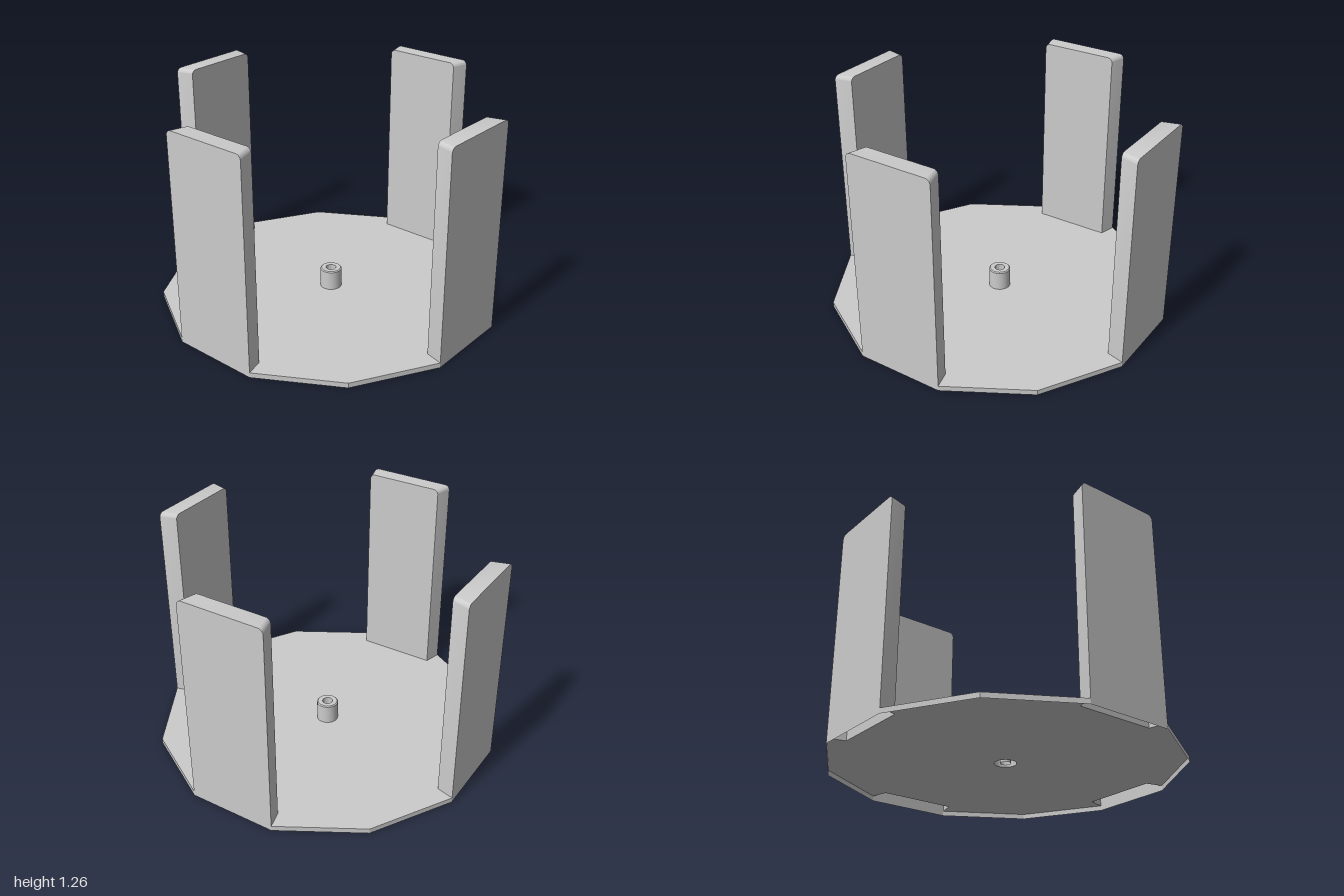
import * as THREE from 'three';
import { toCreasedNormals } from 'three/addons/utils/BufferGeometryUtils.js';

const DEG = Math.PI / 180;
const R = 1.009;          // corner radius of the twelve-sided base
const R_IN = 0.904;       // corner radius of the panels' inner faces
const START = 7.7;        // angle of the first corner, from +x towards +z
const PLATE_Y = 0.03, TOP_Y = 1.26;
const PIN_R = 0.063, HOLE_R = 0.03, PIN_Y = 0.15;

const material = new THREE.MeshStandardMaterial({ color: 0xcccccc, side: THREE.DoubleSide });
const flat = new THREE.MeshStandardMaterial({ color: 0xcccccc, side: THREE.DoubleSide, flatShading: true });

function addMesh(parent, name, geometry, mat = material) {
  const mesh = new THREE.Mesh(geometry, mat);
  mesh.name = name;
  parent.add(mesh);
  return mesh;
}

// Base top, notched under the four hollow panels
function plateGeometry() {
  const at = (r, deg) => new THREE.Vector2(r * Math.cos(deg * DEG), -r * Math.sin(deg * DEG));
  const points = [];
  for (let q = 0; q < 4; q++) {
    const a = START + q * 90;
    points.push(at(R, a), at(R, a + 30), at(R_IN, a + 30), at(R_IN, a + 60), at(R, a + 60));
  }
  const shape = new THREE.Shape(points);
  shape.holes.push(new THREE.Path().absarc(0, 0, PIN_R, 0, Math.PI * 2));
  return new THREE.ShapeGeometry(shape, 16).rotateX(-Math.PI / 2).translate(0, PLATE_Y, 0);
}

// Panel face outline with rounded top corners
function panelOutline(r) {
  const w = r * Math.sin(15 * DEG), c = 0.03;
  return new THREE.Shape()
    .moveTo(-w, PLATE_Y)
    .lineTo(-w, TOP_Y - c)
    .absarc(-w + c, TOP_Y - c, c, Math.PI, Math.PI / 2, true)
    .lineTo(w - c, TOP_Y)
    .absarc(w - c, TOP_Y - c, c, Math.PI / 2, 0, true)
    .lineTo(w, PLATE_Y);
}

// Strip joining the outer and inner outlines; the bottom stays open
function panelEdgeGeometry(outer, inner, zOuter, zInner) {
  const a = outer.getPoints(4), b = inner.getPoints(4);
  const positions = [], index = [];
  a.forEach((p, i) => {
    positions.push(p.x, p.y, zOuter, b[i].x, b[i].y, zInner);
    if (i === 0) return;
    const o0 = 2 * i - 2, i0 = o0 + 1, o1 = 2 * i, i1 = o1 + 1;
    index.push(i0, o0, o1, i0, o1, i1);
  });
  const g = new THREE.BufferGeometry();
  g.setAttribute('position', new THREE.Float32BufferAttribute(positions, 3));
  g.setIndex(index);
  return toCreasedNormals(g, 0.6);
}

function createPanel() {
  const panel = new THREE.Group();
  const outer = panelOutline(R), inner = panelOutline(R_IN);
  const zOuter = R * Math.cos(15 * DEG), zInner = R_IN * Math.cos(15 * DEG);
  addMesh(panel, 'panelOuterFace', new THREE.ShapeGeometry(outer, 4).translate(0, 0, zOuter));
  addMesh(panel, 'panelInnerFace', new THREE.ShapeGeometry(inner, 4).rotateY(Math.PI).translate(0, 0, zInner));
  addMesh(panel, 'panelEdge', panelEdgeGeometry(outer, inner, zOuter, zInner));
  return panel;
}

export function createModel() {
  const model = new THREE.Group();
  model.name = 'panelledHolder';

  // Base: top skin and a short skirt, open underneath
  addMesh(model, 'basePlate', plateGeometry());
  const rim = new THREE.CylinderGeometry(R, R, PLATE_Y, 12, 1, true, (90 - START) * DEG);
  addMesh(model, 'baseRim', rim.translate(0, PLATE_Y / 2, 0), flat);

  // Four upright hollow panels
  for (let i = 0; i < 4; i++) {
    const panel = createPanel();
    panel.name = 'panel' + (i + 1);
    panel.rotation.y = (90 - START - 45 + i * 90) * DEG;
    model.add(panel);
  }

  // Hollow centre post with a through hole
  const profile = [
    [PIN_R, PLATE_Y], [PIN_R, PIN_Y - 0.006], [PIN_R - 0.006, PIN_Y],
    [HOLE_R, PIN_Y], [HOLE_R, PLATE_Y],
  ].map(([x, y]) => new THREE.Vector2(x, y));
  addMesh(model, 'centrePost', toCreasedNormals(new THREE.LatheGeometry(profile, 32), 0.6));

  return model;
}
